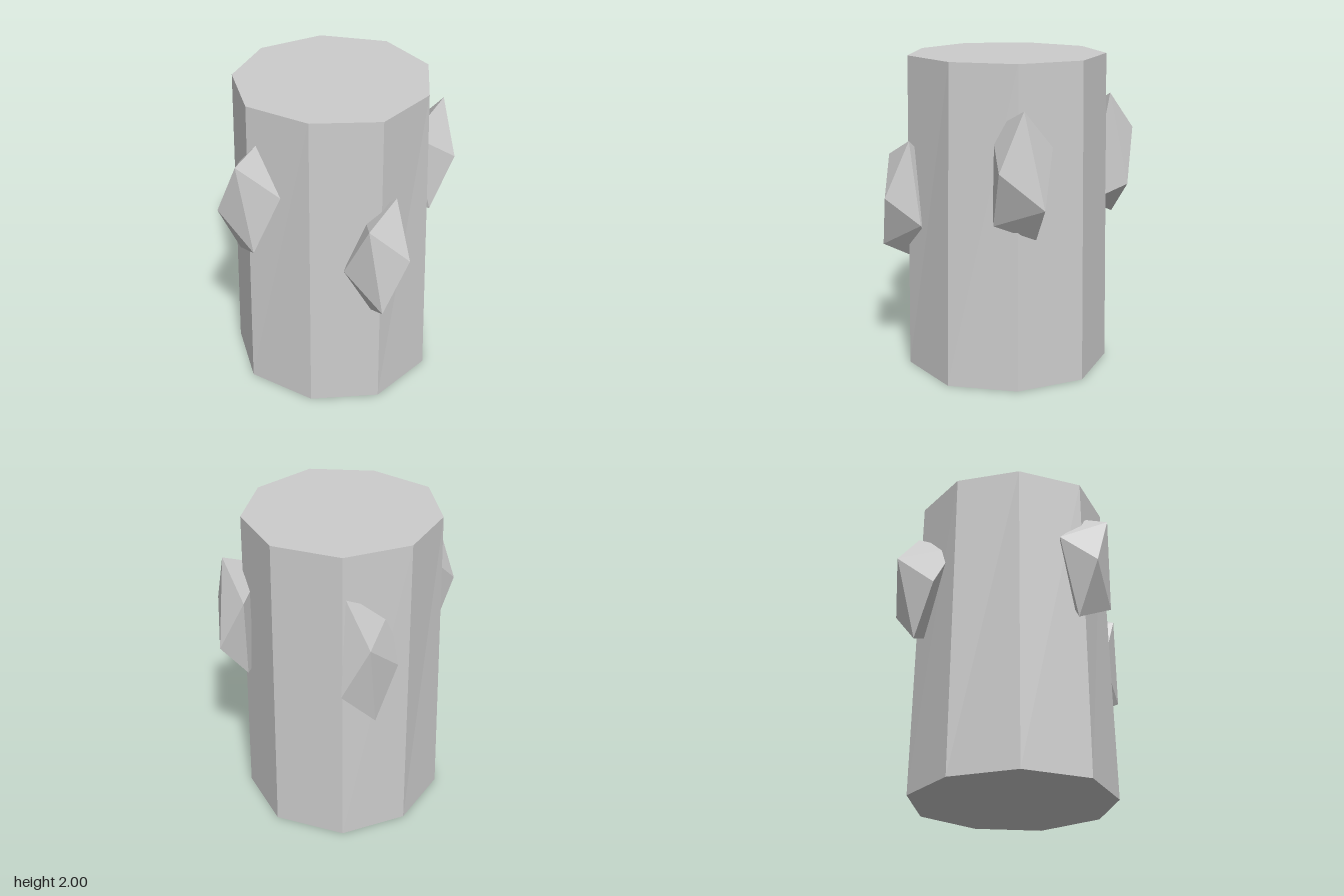
import * as THREE from 'three';
import { ConvexGeometry } from 'three/addons/geometries/ConvexGeometry.js';

const material = new THREE.MeshStandardMaterial({ color: 0xcccccc, flatShading: true });

// Slightly uneven nine-sided outlines as [x, z], starting at the front and turning towards +x
const topRing = [[0.04, 0.635], [0.42, 0.445], [0.605, 0.075], [0.52, -0.335], [0.17, -0.585],
  [-0.25, -0.55], [-0.54, -0.26], [-0.6, 0.16], [-0.35, 0.49]];
const bottomRing = [[0.04, 0.665], [0.46, 0.485], [0.635, 0.08], [0.55, -0.355], [0.18, -0.62],
  [-0.25, -0.575], [-0.58, -0.28], [-0.64, 0.16], [-0.375, 0.53]];

// Chipped knobs: outer corners first, then the corners sunk into the trunk
const knobs = {
  frontKnob: [
    [0.13, 1.49, 0.65], [-0.09, 1.37, 0.75], [0.15, 1.14, 0.81], [-0.02, 0.8, 0.81],
    [0.18, 0.96, 0.595], [-0.18, 1.02, 0.6], [-0.02, 0.72, 0.65],
    [0, 1.3, 0.48], [0.1, 0.82, 0.5],
  ],
  leftKnob: [
    [0.73, 1.75, 0.07], [0.65, 1.52, -0.12], [0.75, 1.4, 0.22], [0.8, 1.18, -0.04],
    [0.59, 1.05, 0.22], [0.63, 0.96, -0.03],
    [0.45, 1.6, 0.2], [0.5, 1.02, 0.12],
  ],
  backKnob: [
    [0.16, 1.75, -0.62], [0.07, 1.51, -0.805], [0.22, 1.17, -0.73], [-0.15, 1.28, -0.65],
    [0, 0.94, -0.7],
    [-0.14, 1.57, -0.5], [0.15, 1.05, -0.5],
  ],
  rightKnob: [
    [-0.57, 1.77, 0.22], [-0.72, 1.69, 0.28], [-0.8, 1.34, 0.14], [-0.6, 1.56, 0],
    [-0.65, 1.11, 0.33], [-0.475, 1.46, 0.345], [-0.655, 1.0, 0.09],
    [-0.45, 1.3, 0.1],
  ],
};

// Tapered trunk: a nine-sided cylinder with each corner moved onto its outline
function trunkGeometry() {
  const geometry = new THREE.CylinderGeometry(0.6, 0.6, 2, 9);
  const p = geometry.attributes.position;
  for (let i = 0; i < p.count; i++) {
    const x = p.getX(i), y = p.getY(i), z = p.getZ(i);
    if (Math.hypot(x, z) < 0.1) {
      p.setXYZ(i, 0, y + 1, 0);
      continue;
    }
    const corner = (Math.round(Math.atan2(x, z) / (Math.PI * 2 / 9)) + 9) % 9;
    const [nx, nz] = (y > 0 ? topRing : bottomRing)[corner];
    p.setXYZ(i, nx, y + 1, nz);
  }
  geometry.computeVertexNormals();
  return geometry;
}

export function createModel() {
  const group = new THREE.Group();
  group.name = 'knobbedTrunk';
  const add = (name, geometry) => {
    const mesh = new THREE.Mesh(geometry, material);
    mesh.name = name;
    group.add(mesh);
  };

  add('trunk', trunkGeometry());
  for (const [name, corners] of Object.entries(knobs)) {
    add(name, new ConvexGeometry(corners.map((c) => new THREE.Vector3(...c))));
  }
  return group;
}
